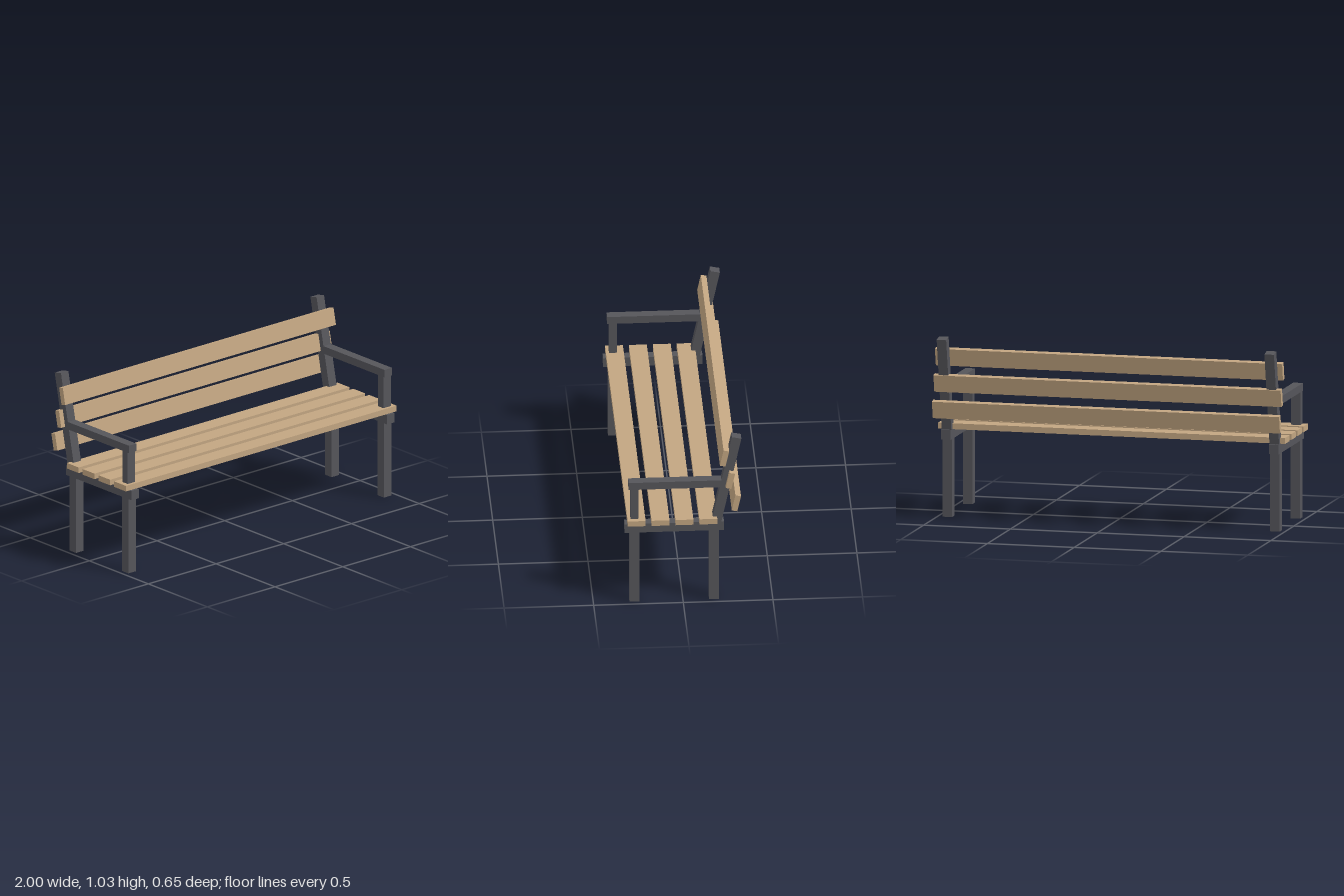
import * as THREE from 'three';

const TILT = THREE.MathUtils.degToRad(-12);

export function createModel() {
  const bench = new THREE.Group();
  bench.name = 'bench';
  const metal = new THREE.MeshStandardMaterial({ color: 0x55555a });
  const wood = new THREE.MeshStandardMaterial({ color: 0xc2a581 });

  const addBox = (parent, name, material, size, position, tilt = 0) => {
    const mesh = new THREE.Mesh(new THREE.BoxGeometry(...size), material);
    mesh.name = name;
    mesh.position.set(...position);
    mesh.rotation.x = tilt;
    parent.add(mesh);
  };

  // End frames, mirrored left and right
  for (const side of [1, -1]) {
    const frame = new THREE.Group();
    frame.name = side > 0 ? 'leftFrame' : 'rightFrame';
    frame.position.x = side * 0.944;
    const w = 0.055;
    addBox(frame, 'frontLeg', metal, [w, 0.44, w], [0, 0.22, 0.271]);
    addBox(frame, 'rearLeg', metal, [w, 0.44, w], [0, 0.22, -0.173]);
    addBox(frame, 'seatRail', metal, [w, 0.055, 0.554], [0, 0.4675, 0.048]);
    addBox(frame, 'backPost', metal, [w, 0.58, 0.054], [0, 0.741, -0.239], TILT);
    addBox(frame, 'armPost', metal, [w, 0.218, 0.044], [0, 0.604, 0.271]);
    addBox(frame, 'armrest', metal, [w, 0.044, 0.538], [0, 0.735, 0.034]);
    bench.add(frame);
  }

  // Seat slats, front to back
  for (let i = 0; i < 4; i++) {
    addBox(bench, `seatSlat${i + 1}`, wood, [2, 0.033, 0.1], [0, 0.5115, 0.26 - i * 0.1333]);
  }

  // Backrest slats, top to bottom, each set farther back than the one above
  for (let i = 0; i < 3; i++) {
    addBox(bench, `backSlat${i + 1}`, wood, [2, 0.098, 0.032], [0, 0.911 - i * 0.144, -0.23 - i * 0.033], TILT);
  }

  return bench;
}
